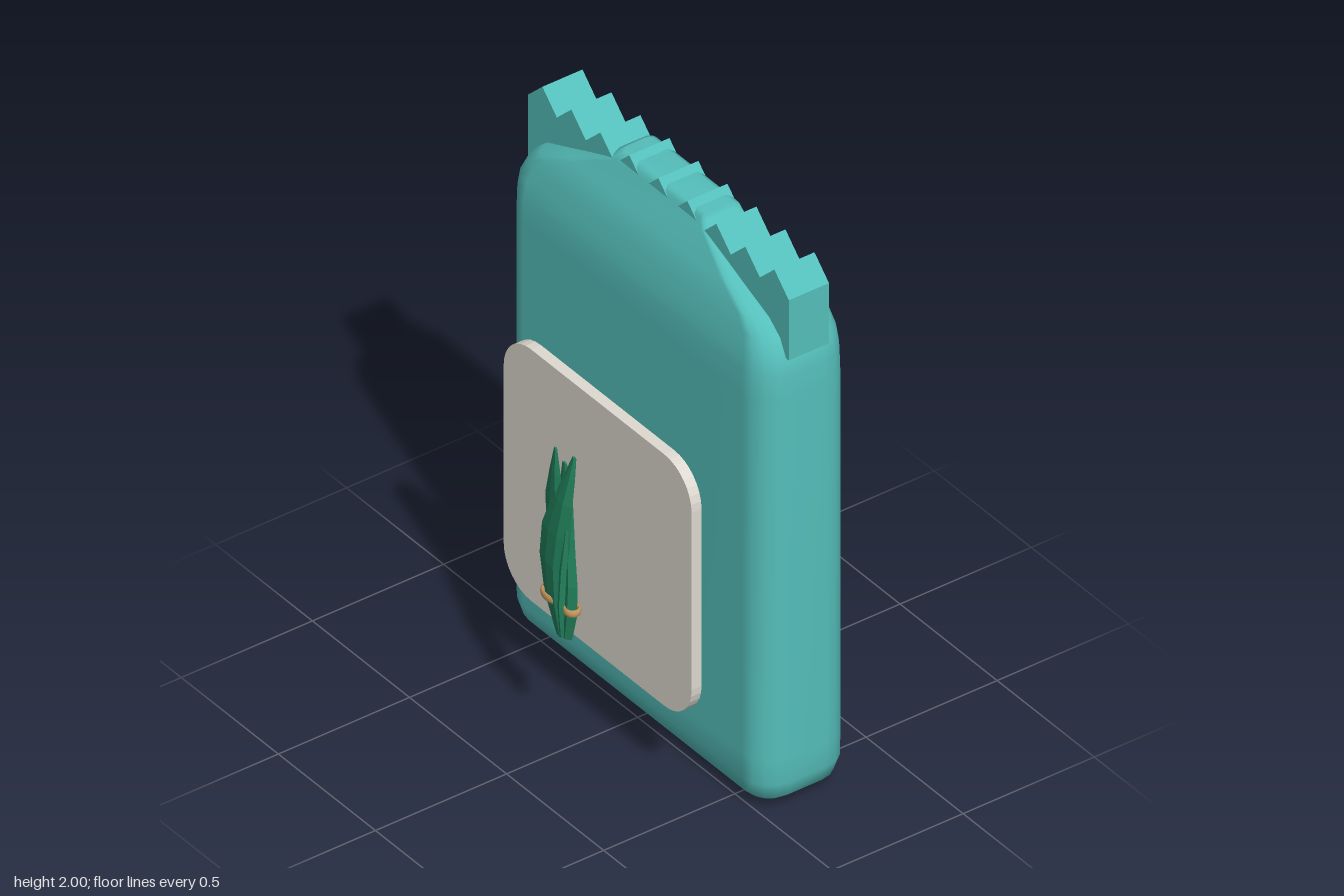
import * as THREE from 'three';

const mat = (color, extra = {}) => new THREE.MeshStandardMaterial({ color, ...extra });

// Skin a stack of closed rings (arrays of [x, y, z]) from bottom to top, capped at both ends
function loft(rings) {
  const n = rings[0].length, pos = rings.flat(2), idx = [];
  const centre = (ring) => [0, 1, 2].map((k) => ring.reduce((s, p) => s + p[k], 0) / n);
  pos.push(...centre(rings[0]), ...centre(rings[rings.length - 1]));
  const bottom = rings.length * n, top = bottom + 1, last = (rings.length - 1) * n;
  for (let j = 0; j < n; j++) {
    const k = (j + 1) % n;
    for (let i = 0; i < rings.length - 1; i++) {
      const a = i * n + j, b = i * n + k;
      idx.push(a, a + n, b, b, a + n, b + n);
    }
    idx.push(bottom, j, k, top, last + k, last + j);
  }
  const g = new THREE.BufferGeometry();
  g.setAttribute('position', new THREE.Float32BufferAttribute(pos, 3));
  g.setIndex(idx);
  g.computeVertexNormals();
  return g;
}

// Horizontal rounded rectangle: half width w, half depth d, corner radius r
function roundedRing(y, w, d, r, zc) {
  const ring = [], seg = 4;
  for (const [q, sx, sz] of [[0, 1, 1], [1, -1, 1], [2, -1, -1], [3, 1, -1]]) {
    for (let i = 0; i <= seg; i++) {
      const a = (q + i / seg) * Math.PI / 2;
      ring.push([sx * (w - r) + r * Math.cos(a), y, zc + sz * (d - r) + r * Math.sin(a)]);
    }
  }
  return ring;
}

function roundedRect(w, h, r) {
  const s = new THREE.Shape();
  s.absarc(w - r, h - r, r, 0, Math.PI / 2);
  s.absarc(r - w, h - r, r, Math.PI / 2, Math.PI);
  s.absarc(r - w, r - h, r, Math.PI, Math.PI * 1.5);
  s.absarc(w - r, r - h, r, Math.PI * 1.5, Math.PI * 2);
  return s;
}

export function createModel() {
  const group = new THREE.Group();
  const add = (name, geometry, material, parent = group) => {
    const m = new THREE.Mesh(geometry, material);
    m.name = name;
    parent.add(m);
    return m;
  };
  const teal = mat(0x55bfbb);
  const zBag = -0.155;

  // Pouch: rounded bottom, straight sides, shoulders narrowing to the seal
  const profile = [
    // y, half width, half depth, corner radius
    [0, 0.565, 0.09, 0.05], [0.012, 0.61, 0.125, 0.07], [0.045, 0.65, 0.157, 0.09],
    [0.105, 0.67, 0.174, 0.105], [0.2, 0.672, 0.175, 0.108], [0.9, 0.672, 0.175, 0.108],
    [1.55, 0.672, 0.175, 0.108], [1.64, 0.67, 0.173, 0.108], [1.7, 0.66, 0.165, 0.1],
    [1.76, 0.63, 0.152, 0.09], [1.805, 0.575, 0.141, 0.08], [1.86, 0.44, 0.121, 0.06],
    [1.94, 0.255, 0.08, 0.03], [1.97, 0.235, 0.072, 0.025], [1.98, 0.215, 0.055, 0.02],
  ];
  add('pouch', loft(profile.map(([y, w, d, r]) => roundedRing(y, w, d, r, zBag))), teal);

  // Zigzag seal strip across the top
  const teeth = 9, half = 0.672, pitch = 2 * half / teeth;
  const zigzag = new THREE.Shape();
  zigzag.moveTo(-half, 1.7);
  zigzag.lineTo(half, 1.7);
  for (let i = 0; i <= 2 * teeth; i++) zigzag.lineTo(half - i * pitch / 2, i % 2 ? 2 : 1.927);
  const seal = add('sealStrip', new THREE.ExtrudeGeometry(zigzag, { depth: 0.153, bevelEnabled: false }), teal);
  seal.position.z = zBag - 0.0765;

  // Label panel floating in front of the pouch
  const label = add('labelPanel', new THREE.ExtrudeGeometry(roundedRect(0.484, 0.474, 0.14),
    { depth: 0.038, bevelEnabled: false, curveSegments: 4 }), mat(0xded9d0));
  label.position.set(0, 0.781, 0.115);

  // Bundle of folded leaves
  const bundle = new THREE.Group();
  bundle.name = 'leafBundle';
  group.add(bundle);
  const green = mat(0x23845f, { flatShading: true });
  const leaf = (name, sections) => add(name, loft(sections.map(([y, x0, x1, z, t]) => {
    const c = (x0 + x1) / 2, w = (x1 - x0) / 2;
    return [[1, 0], [0.35, 1], [-0.35, 0.7], [-1, 0], [-0.35, -1], [0.35, -0.7]]
      .map(([u, v]) => [c + u * w, y, z + v * t]);
  })), green, bundle);
  // y, left edge, right edge, z, half thickness
  leaf('frontLeaf', [
    [0.44, -0.025, 0.03, 0.295, 0.012], [0.56, -0.075, 0.04, 0.3, 0.02], [0.7, -0.095, 0.045, 0.304, 0.02],
    [0.82, -0.085, 0.06, 0.302, 0.018], [0.95, -0.035, 0.062, 0.296, 0.014],
    [1.05, 0.01, 0.062, 0.285, 0.01], [1.125, 0.038, 0.058, 0.277, 0.005],
  ]);
  leaf('backLeaf', [
    [0.44, -0.02, 0.04, 0.285, 0.01], [0.6, -0.06, 0.05, 0.284, 0.016], [0.75, -0.085, 0.04, 0.282, 0.016],
    [0.92, -0.09, 0.01, 0.286, 0.013], [1.03, -0.062, -0.005, 0.29, 0.01], [1.125, -0.036, -0.02, 0.292, 0.004],
  ]);
  leaf('sideLeaf', [
    [0.45, 0.0, 0.06, 0.295, 0.014], [0.55, 0.01, 0.086, 0.296, 0.02], [0.66, 0.01, 0.088, 0.294, 0.018],
    [0.78, 0.0, 0.068, 0.288, 0.014], [0.95, -0.03, 0.045, 0.28, 0.01], [1.08, -0.012, 0.012, 0.278, 0.004],
  ]);
  leaf('midRib', [
    [0.45, 0.005, 0.04, 0.302, 0.012], [0.57, 0.012, 0.046, 0.313, 0.014],
    [0.7, 0.012, 0.05, 0.309, 0.012], [0.86, 0.03, 0.055, 0.301, 0.008],
  ]);

  // Tie bands round the foot of the leaves
  const tan = mat(0xc79a5f);
  for (const [name, x, w, z] of [['leftTie', 0.062, 0.03, 0.296], ['rightTie', -0.037, 0.054, 0.297]]) {
    const tie = add(name, new THREE.TorusGeometry(1, 0.25, 8, 20), tan, bundle);
    tie.rotation.x = Math.PI / 2;
    tie.scale.set(w / 1.25, 0.0225, 0.055);
    tie.position.set(x, 0.568, z);
  }
  return group;
}
